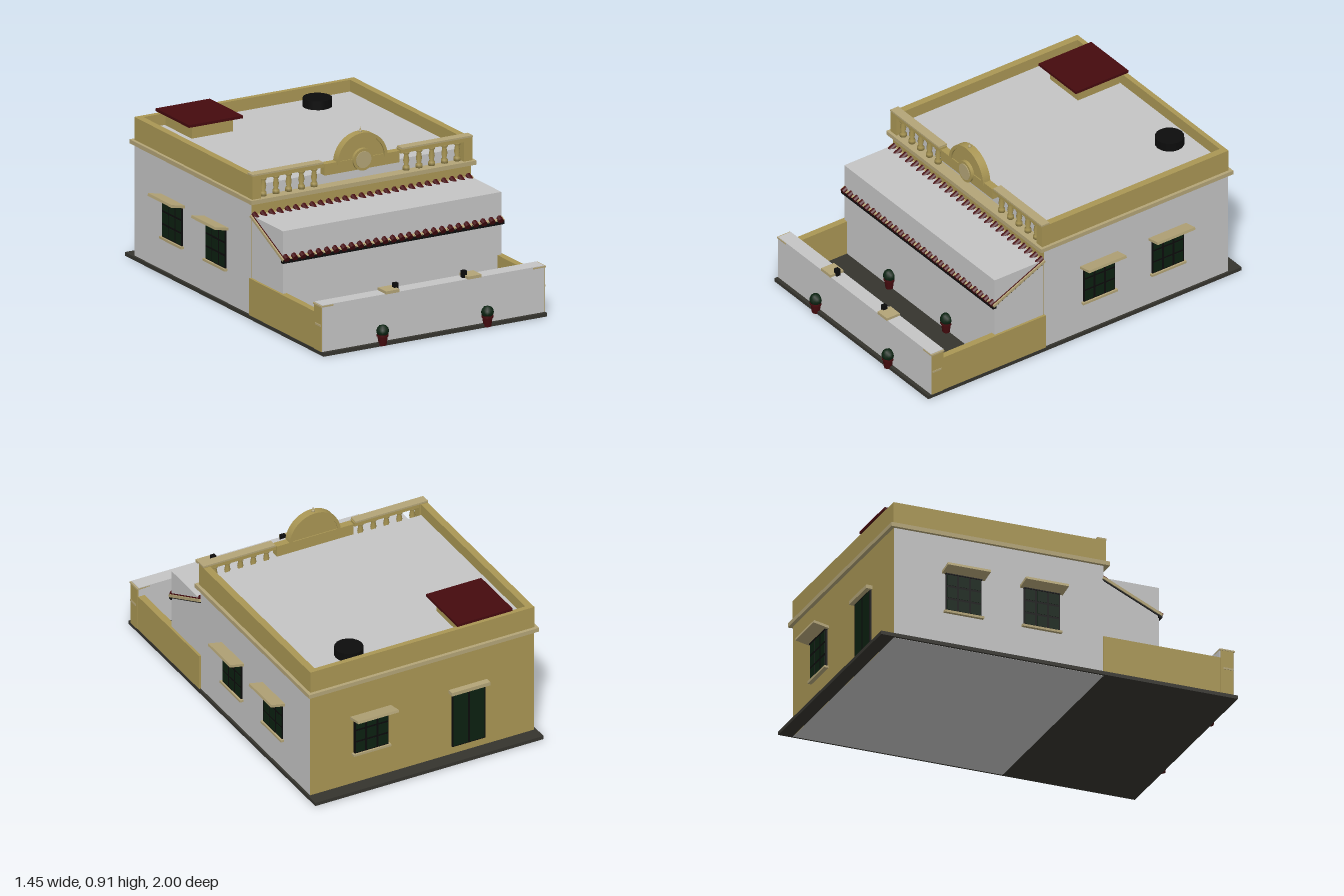
import * as THREE from 'three';

const mat = (name, color) => {
  const m = new THREE.MeshStandardMaterial({ color });
  m.name = name;
  return m;
};

export function createModel() {
  const white = mat('white plaster', 0xc4c4c4);
  const ochre = mat('ochre plaster', 0xa99654);
  const trim = mat('pale stone trim', 0xb3a477);
  const dark = mat('dark paving', 0x35342e);
  const red = mat('dark red clay', 0x450a0e);
  const black = mat('black metal', 0x0c0c0c);
  const green = mat('dark green glass', 0x0b2010);
  const leaf = mat('foliage', 0x0c2412);

  const model = new THREE.Group();
  model.name = 'house';

  const add = (name, geo, material, parent = model) => {
    const m = new THREE.Mesh(geo, material);
    m.name = name;
    parent.add(m);
    return m;
  };
  // Box given by its limits on each axis
  const box = (name, material, [x0, x1], [y0, y1], [z0, z1], parent = model) => {
    const m = add(name, new THREE.BoxGeometry(x1 - x0, y1 - y0, z1 - z0), material, parent);
    m.position.set((x0 + x1) / 2, (y0 + y1) / 2, (z0 + z1) / 2);
    return m;
  };

  // Ground slab and main volumes
  box('groundSlab', dark, [-0.655, 0.655], [0.001, 0.02], [-0.985, 0.97]);
  box('mainBody', [white, white, white, white, ochre, ochre], [-0.643, 0.643], [0, 0.612], [-0.91, 0.24]);
  box('porchBlock', white, [-0.64, 0.64], [0.015, 0.545], [0.235, 0.545]);
  box('roofDeck', white, [-0.61, 0.61], [0.6, 0.69], [-0.89, 0.205]);
  box('cornice', trim, [-0.66, 0.66], [0.61, 0.632], [-0.93, 0.268]);

  // Parapet on the sides and back
  for (const s of [-1, 1]) {
    const xs = s > 0 ? [0.605, 0.643] : [-0.643, -0.605];
    box('sideParapet', ochre, xs, [0.63, 0.752], [-0.91, 0.25]);
    box('parapetPier', ochre, s > 0 ? [0.595, 0.645] : [-0.645, -0.595], [0.63, 0.755], [0.205, 0.252]);
  }
  box('backParapet', ochre, [-0.643, 0.643], [0.63, 0.752], [-0.912, -0.885]);

  // Front balustrade
  const profile = [[0, 0], [0.018, 0], [0.018, 0.018], [0.011, 0.026], [0.016, 0.05], [0.011, 0.08], [0.018, 0.088], [0.018, 0.1], [0, 0.1]]
    .map(([x, y]) => new THREE.Vector2(x, y));
  const balusterGeo = new THREE.LatheGeometry(profile, 10);
  for (const s of [-1, 1]) {
    for (let i = 0; i < 5; i++) {
      add('baluster', balusterGeo, ochre).position.set(s * (0.27 + i * 0.0745), 0.637, 0.23);
    }
    box('balustradeRail', ochre, s > 0 ? [0.225, 0.645] : [-0.645, -0.225], [0.735, 0.756], [0.208, 0.252]);
    box('railCap', trim, s > 0 ? [0.23, 0.645] : [-0.645, -0.23], [0.755, 0.764], [0.205, 0.255]);
  }

  // Arched crest with medallion and finial
  box('crestBase', ochre, [-0.22, 0.22], [0.69, 0.75], [0.21, 0.25]);
  const arch = (r, inner) => {
    const s = new THREE.Shape();
    s.absarc(0, 0, r, 0, Math.PI, false);
    if (inner) s.absarc(0, 0, inner, Math.PI, 0, true);
    s.closePath();
    return s;
  };
  const extrude = (shape, depth) => new THREE.ExtrudeGeometry(shape, { depth, bevelEnabled: false, curveSegments: 24 });
  add('crestPanel', extrude(arch(0.14), 0.03), ochre).position.set(0, 0.735, 0.215);
  add('crestArch', extrude(arch(0.147, 0.13), 0.045), ochre).position.set(0, 0.735, 0.21);
  const disc = (name, r, depth, material, z) => {
    const m = add(name, new THREE.CylinderGeometry(r, r, depth, 28), material);
    m.rotation.x = Math.PI / 2;
    m.position.set(0, 0.743, z);
  };
  disc('medallionRim', 0.058, 0.02, ochre, 0.253);
  disc('medallionFace', 0.044, 0.01, trim, 0.262);
  add('finialBall', new THREE.SphereGeometry(0.009, 10, 8), trim).position.set(0, 0.885, 0.232);
  add('finial', new THREE.ConeGeometry(0.007, 0.03, 10), trim).position.set(0, 0.896, 0.232);

  // Sloping porch roof with rows of clay tiles
  const porch = new THREE.Group();
  porch.name = 'porchRoof';
  porch.position.set(0, 0.468, 0.397);
  porch.rotation.x = Math.atan2(0.15, 0.325);
  model.add(porch);
  box('roofBoard', trim, [-0.65, 0.65], [-0.006, 0.008], [-0.178, 0.178], porch);
  box('roofUnderside', black, [-0.645, 0.645], [-0.012, -0.005], [-0.176, 0.176], porch);
  const tileGeo = new THREE.CylinderGeometry(0.016, 0.016, 0.364, 10);
  for (let i = 0; i < 27; i++) {
    const t = add('roofTile', tileGeo, red, porch);
    t.rotation.x = Math.PI / 2;
    t.position.set((i - 13) * 0.0482, 0.006, 0);
  }
  box('eaveBoard', black, [-0.648, 0.648], [0.378, 0.402], [0.54, 0.56]);

  // Courtyard walls
  for (const s of [-1, 1]) {
    const span = (a, b) => (s > 0 ? [a, b] : [-b, -a]);
    box('sideWall', ochre, span(0.617, 0.653), [0.02, 0.215], [0.235, 0.9]);
    box('wallEnd', ochre, span(0.64, 0.656), [0.02, 0.255], [0.877, 0.947]);
    box('wallEndCap', trim, span(0.585, 0.658), [0.255, 0.263], [0.872, 0.952]);
    box('wallEndBand', trim, span(0.65, 0.659), [0.152, 0.162], [0.89, 0.945]);
    // Gate caps and lamps
    box('gateCap', trim, span(0.2, 0.28), [0.264, 0.28], [0.873, 0.953]);
    box('gateLamp', black, span(0.188, 0.212), [0.265, 0.303], [0.9, 0.924]);
  }
  box('frontWall', white, [-0.65, 0.65], [0.02, 0.266], [0.872, 0.95]);

  // Openings are built facing +z, with y measured from the ground
  const opening = (name, x, z, turn) => {
    const g = new THREE.Group();
    g.name = name;
    g.position.set(x, 0, z);
    g.rotation.y = turn;
    model.add(g);
    return g;
  };
  const panes = (g, w, y0, y1, cols, rows) => {
    box('frame', black, [-w / 2, w / 2], [y0, y1], [-0.005, 0.008], g);
    const pw = w / cols, ph = (y1 - y0) / rows;
    for (let i = 0; i < cols; i++) for (let j = 0; j < rows; j++) {
      const px = -w / 2 + i * pw, py = y0 + j * ph;
      box('pane', green, [px + 0.006, px + pw - 0.006], [py + 0.006, py + ph - 0.006], [0.004, 0.01], g);
    }
  };
  const windowAt = (x, z, turn) => {
    const g = opening('window', x, z, turn);
    panes(g, 0.195, 0.2, 0.405, 3, 3);
    box('sill', trim, [-0.108, 0.108], [0.188, 0.2], [-0.005, 0.018], g);
    box('lintel', black, [-0.1, 0.1], [0.402, 0.412], [-0.005, 0.012], g);
    const c = box('canopy', trim, [-0.117, 0.117], [0.412, 0.426], [-0.01, 0.08], g);
    c.rotation.x = -0.2;
  };
  for (const s of [-1, 1]) for (const z of [-0.102, -0.53]) windowAt(s * 0.643, z, s * Math.PI / 2);
  windowAt(0.297, -0.915, Math.PI);

  // Back door
  const door = opening('backDoor', -0.262, -0.912, Math.PI);
  panes(door, 0.19, 0.065, 0.385, 2, 1);
  box('doorLintel', trim, [-0.11, 0.11], [0.385, 0.405], [-0.005, 0.033], door);

  // Roof hatch and tank lid
  box('hatchBase', ochre, [-0.48, -0.24], [0.685, 0.766], [-0.88, -0.62]);
  box('hatchLid', red, [-0.52, -0.203], [0.764, 0.778], [-0.908, -0.58]);
  add('tankLid', new THREE.CylinderGeometry(0.075, 0.075, 0.048, 16), black).position.set(0.342, 0.712, -0.765);

  // Potted shrubs
  const potAt = (x, y, z) => {
    const g = new THREE.Group();
    g.name = 'pottedShrub';
    g.position.set(x, y, z);
    model.add(g);
    add('pot', new THREE.CylinderGeometry(0.028, 0.02, 0.055, 10), red, g).position.y = 0.03;
    add('potRim', new THREE.CylinderGeometry(0.031, 0.031, 0.01, 10), red, g).position.y = 0.056;
    add('shrub', new THREE.IcosahedronGeometry(0.033, 1), leaf, g).position.y = 0.078;
  };
  for (const s of [-1, 1]) {
    potAt(s * 0.307, 0.003, 0.967);
    potAt(s * 0.242, 0.02, 0.555);
  }
  return model;
}
